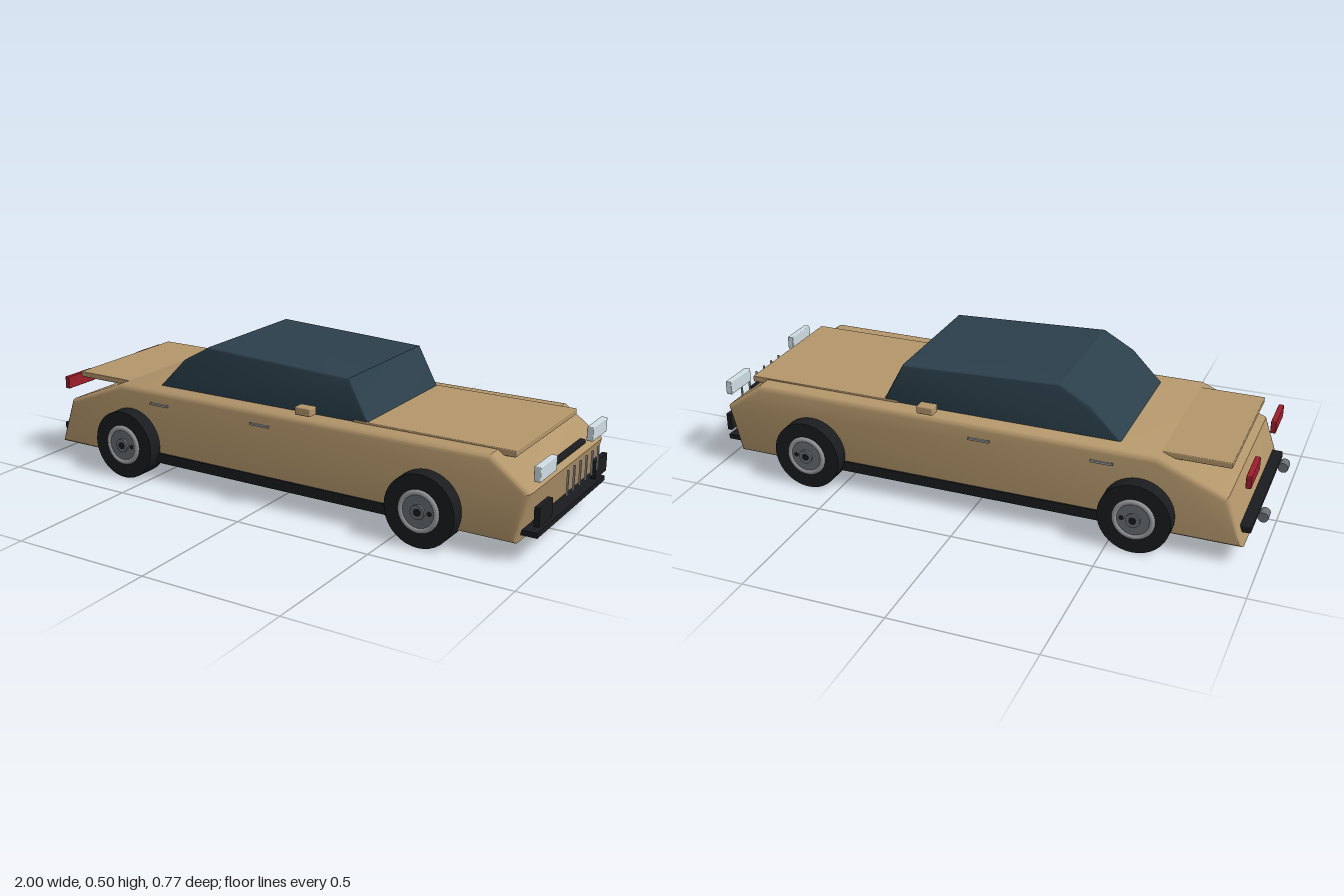
import * as THREE from 'three';
import { RoundedBoxGeometry } from 'three/addons/geometries/RoundedBoxGeometry.js';
import { toCreasedNormals } from 'three/addons/utils/BufferGeometryUtils.js';

const material = (color) => new THREE.MeshStandardMaterial({ color });

export function createModel() {
  const car = new THREE.Group();
  car.name = 'car';
  const paint = material(0xb3966b);
  const glass = material(0x2b3f4b);
  const black = material(0x1a1c1f);
  const silver = material(0x9a9da0);
  const steel = material(0x6a6e73);
  const lamp = material(0xcfdde4);
  const red = material(0x9c1f2c);

  function add(name, geometry, mat, x = 0, y = 0, z = 0, parent = car) {
    const mesh = new THREE.Mesh(geometry, mat);
    mesh.name = name;
    mesh.position.set(x, y, z);
    parent.add(mesh);
    return mesh;
  }

  // Box given by its limits along each axis
  function block(name, mat, [x0, x1], [y0, y1], [z0, z1], radius = 0) {
    const size = [x1 - x0, y1 - y0, z1 - z0];
    const geometry = radius ? new RoundedBoxGeometry(...size, 2, radius) : new THREE.BoxGeometry(...size);
    return add(name, geometry, mat, (x0 + x1) / 2, (y0 + y1) / 2, (z0 + z1) / 2);
  }

  // The same box on both sides of the car
  function pair(name, mat, xs, ys, [z0, z1], radius = 0) {
    block(name + 'Left', mat, xs, ys, [-z1, -z0], radius);
    block(name + 'Right', mat, xs, ys, [z0, z1], radius);
  }

  // Side profile extruded across the car, with rounded side edges
  function profile(name, mat, points, halfWidth, bevel) {
    const shape = new THREE.Shape(points.map(([x, y]) => new THREE.Vector2(x, y)));
    const geometry = new THREE.ExtrudeGeometry(shape, {
      depth: 2 * (halfWidth - bevel), bevelEnabled: true, bevelSize: bevel,
      bevelThickness: bevel, bevelOffset: -bevel, bevelSegments: 3,
    });
    geometry.translate(0, 0, -(halfWidth - bevel));
    return add(name, toCreasedNormals(geometry, 0.55), mat);
  }

  // Body, cabin and lids
  profile('body', paint, [
    [-0.945, 0.06], [0.917, 0.06], [0.96, 0.235], [0.82, 0.337], [-0.645, 0.333], [-0.885, 0.235],
  ], 0.32, 0.02);
  profile('cabin', glass, [
    [-0.51, 0.33], [0.36, 0.33], [0.28, 0.48], [-0.29, 0.505], [-0.4, 0.443],
  ], 0.252, 0.008);
  block('hood', paint, [0.3, 0.88], [0.32, 0.342], [-0.256, 0.256], 0.003);
  block('trunkLid', paint, [-0.88, -0.46], [0.312, 0.332], [-0.263, 0.263], 0.003);

  // Sills, mirrors and door handles
  pair('sill', black, [-0.5, 0.52], [0.065, 0.102], [0.29, 0.326]);
  pair('mirror', paint, [0.127, 0.188], [0.355, 0.384], [0.303, 0.345], 0.005);
  for (const x of [-0.463, -0.03]) {
    pair('doorHandle', silver, [x - 0.039, x + 0.039], [0.28, 0.287], [0.321, 0.327]);
    for (const end of [-0.036, 0.036]) {
      pair('handlePost', steel, [x + end - 0.003, x + end + 0.003], [0.28, 0.288], [0.31, 0.325]);
    }
  }

  // Front end
  pair('headlight', lamp, [0.955, 0.978], [0.268, 0.318], [0.157, 0.29], 0.003);
  pair('fogLight', black, [0.965, 0.984], [0.125, 0.19], [0.19, 0.297], 0.002);
  block('frontBumper', black, [0.925, 0.98], [0.088, 0.106], [-0.296, 0.296]);
  block('grilleBar', black, [0.92, 0.942], [0.247, 0.262], [-0.19, 0.19], 0.003);
  for (let i = 0; i < 6; i++) {
    const z = 0.108 - i * 0.054;
    block('grilleSlat', silver, [0.994, 1], [0.17, 0.256], [z - 0.003, z + 0.003]);
  }

  // Rear end
  pair('tailLight', red, [-0.947, -0.928], [0.26, 0.306], [0.135, 0.28], 0.003);
  block('rearBumper', black, [-0.96, -0.92], [0.098, 0.124], [-0.28, 0.28], 0.004);
  for (const z of [-0.18, 0.18]) {
    const exhaust = add('exhaust', new THREE.CylinderGeometry(0.018, 0.018, 0.04, 20), steel, -0.982, 0.12, z);
    exhaust.rotation.x = Math.PI / 2;
  }

  // Wheels: the outer face of each group points along +z before turning
  const disc = (radius, depth) => new THREE.CylinderGeometry(radius, radius, depth, 36).rotateX(Math.PI / 2);
  for (const x of [-0.593, 0.61]) {
    for (const side of [1, -1]) {
      const wheel = new THREE.Group();
      wheel.name = (x > 0 ? 'front' : 'rear') + 'Wheel';
      wheel.position.set(x, 0.125, side * 0.331);
      if (side < 0) wheel.rotation.y = Math.PI;
      add('tyre', disc(0.125, 0.086), black, 0, 0, 0, wheel);
      add('rimRing', new THREE.TorusGeometry(0.064, 0.011, 10, 36), silver, 0, 0, 0.039, wheel);
      add('rimDisc', disc(0.058, 0.006), steel, 0, 0, 0.043, wheel);
      add('hub', disc(0.025, 0.02), steel, 0, 0, 0.044, wheel);
      add('hubCap', disc(0.013, 0.004), black, 0, 0, 0.053, wheel);
      add('valve', disc(0.008, 0.006), black, side * 0.04, 0, 0.045, wheel);
      car.add(wheel);
    }
  }
  return car;
}
